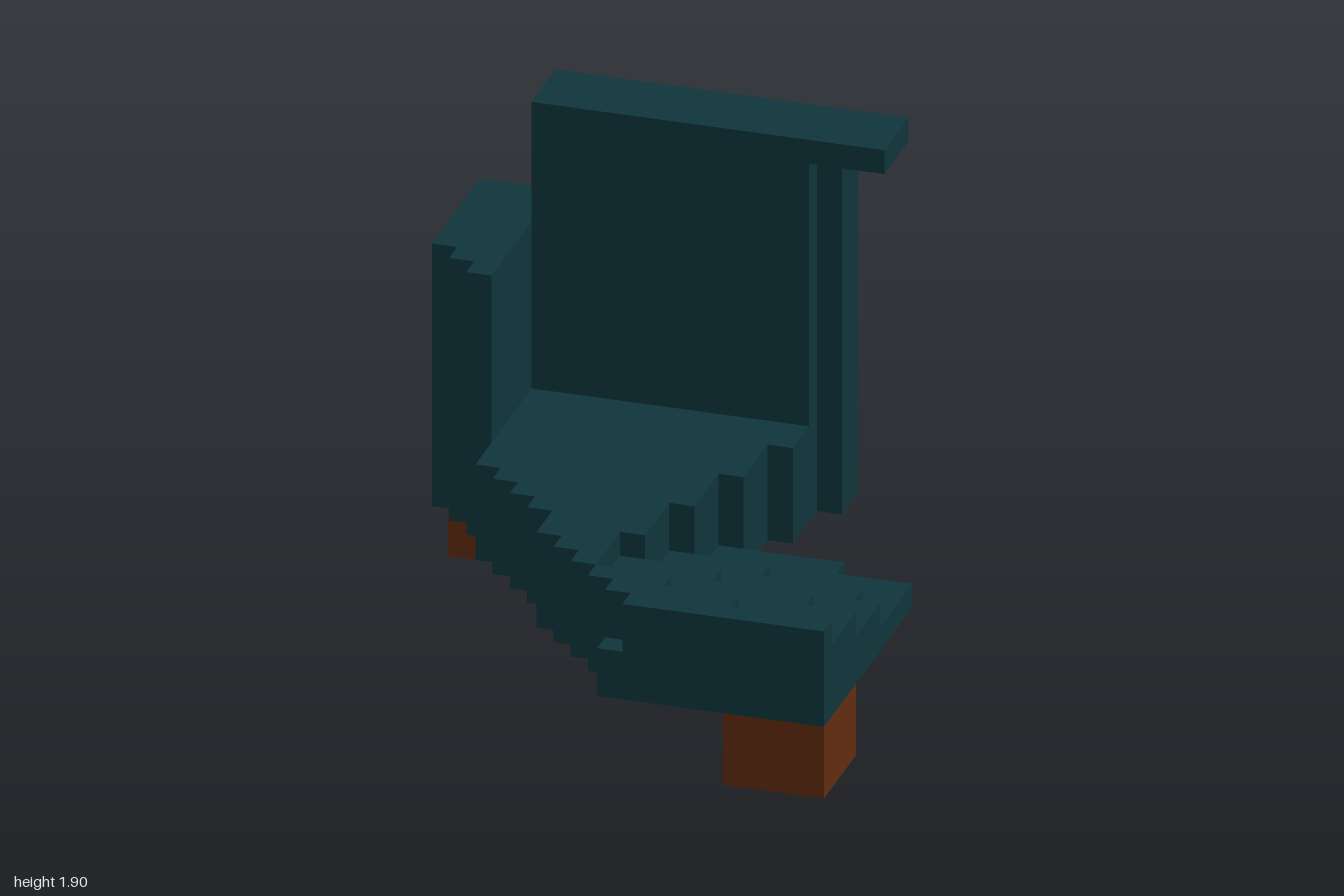
import * as THREE from 'three';

const teal = new THREE.MeshStandardMaterial({ name: 'dark teal upholstery', color: 0x0f353c });
const brown = new THREE.MeshStandardMaterial({ name: 'brown wood', color: 0x622c0e });

const BASE = 0.3;     // underside of the upholstery
const SEAT_TOP = 0.7;

export function createModel() {
  const group = new THREE.Group();
  group.name = 'steppedArmchair';

  // Upright block from an x,z floor outline between two heights
  function prism(name, outline, bottom, top) {
    const shape = new THREE.Shape(outline.map(([x, z]) => new THREE.Vector2(x, -z)));
    const geometry = new THREE.ExtrudeGeometry(shape, { depth: top - bottom, bevelEnabled: false });
    geometry.rotateX(-Math.PI / 2).translate(0, bottom, 0);
    const mesh = new THREE.Mesh(geometry, teal);
    mesh.name = name;
    group.add(mesh);
  }

  function box(name, [x0, x1], [y0, y1], [z0, z1], material) {
    const mesh = new THREE.Mesh(new THREE.BoxGeometry(x1 - x0, y1 - y0, z1 - z0), material);
    mesh.position.set((x0 + x1) / 2, (y0 + y1) / 2, (z0 + z1) / 2);
    mesh.name = name;
    group.add(mesh);
  }

  // Legs at two opposite corners
  box('backLeg', [-1, -0.6], [0, BASE], [-1, -0.6], brown);
  box('frontLeg', [0.6, 1], [0, BASE], [0.6, 1], brown);

  // Backrest with a stepped edge, and the longer rail on top
  prism('backrest', [[-0.7, -1], [0.5, -1], [0.5, -0.8], [0.4, -0.8], [0.4, -0.7], [-0.7, -0.7]], BASE, 1.8);
  box('topRail', [-0.7, 0.7], [1.8, 1.9], [-1, -0.7], teal);

  // Armrest with a stepped front corner
  prism('armrest', [
    [-1, -1], [-0.7, -1], [-0.7, -0.2], [-0.8, -0.2], [-0.8, -0.3],
    [-0.9, -0.3], [-0.9, -0.4], [-1, -0.4],
  ], BASE, 1.4);

  // Seat, narrowing in steps towards the front
  prism('seat', [
    [-0.7, -0.7], [0.4, -0.7], [0.4, -0.5], [0.3, -0.5], [0.3, -0.2], [0.2, -0.2],
    [0.2, 0.1], [0.1, 0.1], [0.1, 0.4], [0, 0.4], [0, 0.7], [-0.1, 0.7],
    [-0.1, 0.6], [-0.2, 0.6], [-0.2, 0.5], [-0.3, 0.5], [-0.3, 0.3], [-0.4, 0.3],
    [-0.4, 0.2], [-0.5, 0.2], [-0.5, 0.1], [-0.6, 0.1], [-0.6, 0], [-0.7, 0],
  ], BASE, SEAT_TOP);

  // Terraces rising towards the front; each pair shares one stepped edge
  const edges = [
    [[0.2, -0.2], [0.7, -0.2], [0.7, -0.1], [1, -0.1]],
    [[0.1, 0.1], [0.5, 0.1], [0.5, 0.2], [0.9, 0.2], [0.9, 0.3], [1, 0.3]],
    [[0, 0.4], [0.4, 0.4], [0.4, 0.5], [0.8, 0.5], [0.8, 0.6], [1, 0.6]],
    [[0, 0.7], [0.3, 0.7], [0.3, 0.8], [0.6, 0.8], [0.6, 0.9], [1, 0.9]],
    [[0, 0.8], [0.1, 0.8], [0.1, 0.9], [0.2, 0.9], [0.2, 1], [1, 1]],
  ];
  for (let i = 0; i < 4; i++) {
    const back = edges[i];
    const front = edges[i + 1].slice().reverse();
    const left = back[0][0];
    // The seat covers whatever lies left of the terrace's own edge
    const outline = [...back, ...front.filter(([x]) => x > left || i === 3)];
    if (i < 3) outline.push([left, edges[i + 1][0][1]]);
    else outline.push([0, 0.8]);
    prism('terrace' + (i + 1), outline.filter((p, k) => k === 0 || p[0] !== outline[k - 1][0] || p[1] !== outline[k - 1][1]),
      BASE, 0.4 + i * 0.1);
  }

  // Low block in the notch of the front corner
  box('cornerStep', [0.1, 0.2], [BASE, 0.5], [0.9, 1], teal);

  return group;
}
